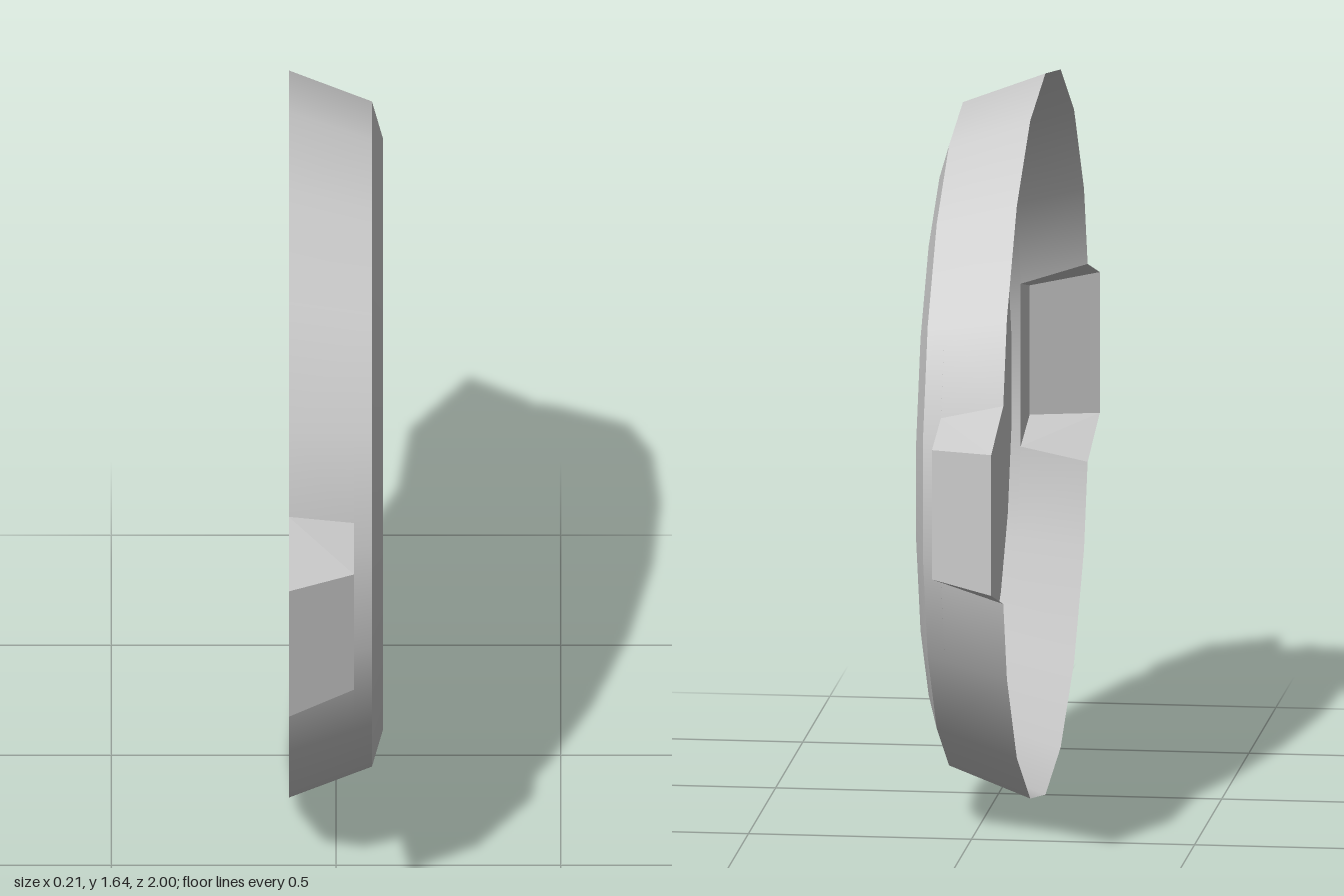
import * as THREE from 'three';

const BACK = -0.105, HANDLE_FRONT = 0.04, RIM = 0.08, FRONT = 0.105;
const R_BACK = 0.82, R_RIM = 0.75;
const SLOPE = (R_BACK - R_RIM) / (RIM - BACK);
const radiusAt = (x) => R_BACK - SLOPE * (x - BACK);
const deg = THREE.MathUtils.degToRad;

export function createModel() {
  const grey = new THREE.MeshStandardMaterial({ color: 0xcccccc, side: THREE.DoubleSide });
  grey.name = 'grey';
  const model = new THREE.Group();
  model.name = 'lid';
  const body = new THREE.Group();
  body.name = 'body';
  body.position.y = 0.825;
  model.add(body);

  const add = (parent, name, geometry) => {
    const mesh = new THREE.Mesh(geometry, grey);
    mesh.name = name;
    parent.add(mesh);
  };

  // One conical band around the x axis; angle 0 points to +z, 20 degrees per side
  const band = (parent, name, [x0, r0], [x1, r1], start = -10, sides = 18) => {
    const points = [new THREE.Vector2(r0, x0), new THREE.Vector2(r1, x1)];
    const geometry = new THREE.LatheGeometry(points, sides, deg(start), deg(sides * 20));
    add(parent, name, geometry.rotateZ(-Math.PI / 2));
  };

  // Flat four-cornered faces, optionally with the smooth normals of the cone
  const quads = (faces, conical = false) => {
    const geometry = new THREE.BufferGeometry();
    const corners = faces.flatMap(([a, b, c, d]) => [a, b, c, a, c, d]);
    geometry.setAttribute('position', new THREE.Float32BufferAttribute(corners.flat(), 3));
    geometry.computeVertexNormals();
    if (conical) {
      const n = new THREE.Vector3();
      corners.forEach(([, y, z], i) => {
        const r = Math.hypot(y, z);
        n.set(SLOPE, y / r, z / r).normalize();
        geometry.attributes.normal.setXYZ(i, n.x, n.y, n.z);
      });
    }
    return geometry;
  };
  const flip = ([x, y, z]) => [x, -y, z];
  const mirrored = (face) => [face, face.map(flip).reverse()];

  // Outer wall above and below the handle openings
  band(body, 'lowerWall', [BACK, R_BACK], [RIM, R_RIM], 30, 6);
  band(body, 'upperWall', [BACK, R_BACK], [RIM, R_RIM], 210, 6);

  // Bevelled rim, recess and centre plate
  band(body, 'rim', [RIM, R_RIM], [FRONT, 0.665]);
  band(body, 'recess', [FRONT, 0.665], [0.04, 0.575]);
  band(body, 'plate', [0.04, 0.575], [0.04, 0]);

  // Two hollow handles, open at the back and into the wall
  const backIn = [BACK, 0.225, 0.777], backOut = [BACK, 0.16, 1];
  const frontIn = [HANDLE_FRONT, 0.185, 0.734], frontOut = [HANDLE_FRONT, 0.147, 0.9];
  const wallPoint = (x) => [x, radiusAt(x) * Math.sin(deg(30)), radiusAt(x) * Math.cos(deg(30))];

  ['leftHandle', 'rightHandle'].forEach((_, i) => {
    const side = new THREE.Group();
    side.name = i ? 'backSide' : 'frontSide';
    side.rotation.x = i * Math.PI;
    body.add(side);

    add(side, 'handle', quads([
      ...mirrored([backIn, backOut, frontOut, frontIn]),
      [flip(backOut), flip(frontOut), frontOut, backOut],
      [flip(frontIn), frontIn, frontOut, flip(frontOut)],
    ]));

    // Wall pieces framing the opening
    add(side, 'wallBesideHandle', quads(
      mirrored([wallPoint(BACK), backIn, frontIn, wallPoint(HANDLE_FRONT)]), true));
    band(side, 'wallBeforeHandle', [HANDLE_FRONT, radiusAt(HANDLE_FRONT)], [RIM, R_RIM], -30, 3);
  });

  return model;
}
